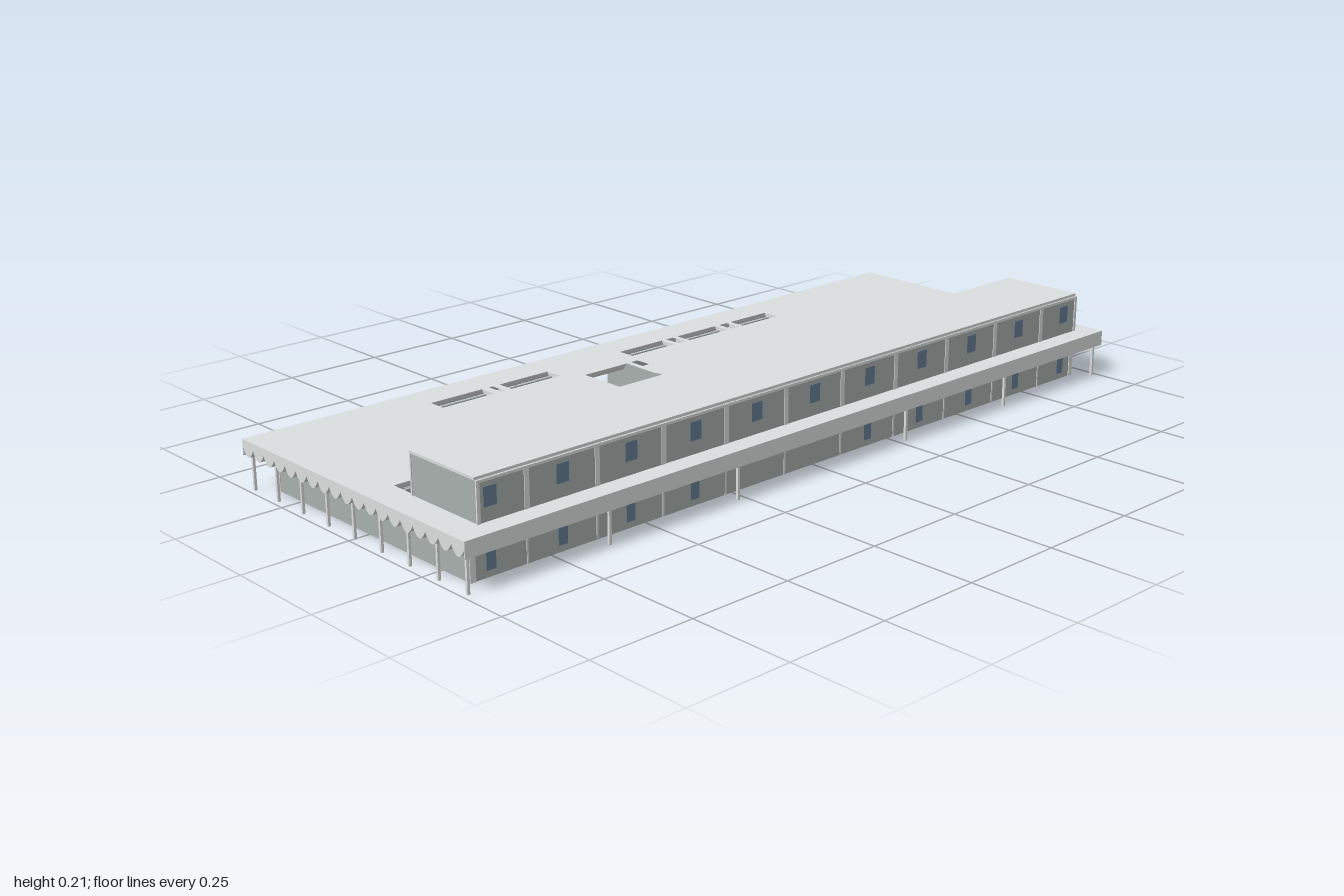
import * as THREE from 'three';

const mat = (name, color) => {
  const m = new THREE.MeshStandardMaterial({ color });
  m.name = name;
  return m;
};

export function createModel() {
  const model = new THREE.Group();
  const concrete = mat('pale concrete', 0xdcdfdf);
  const panel = mat('grey green panel', 0xa7b0ad);
  const glass = mat('blue glass', 0x667f92);

  const add = (name, geometry, material) => {
    const mesh = new THREE.Mesh(geometry, material);
    mesh.name = name;
    model.add(mesh);
  };
  // Box given by its lower and upper limits
  const block = (name, x0, x1, y0, y1, z0, z1, material) => {
    const g = new THREE.BoxGeometry(x1 - x0, y1 - y0, z1 - z0);
    g.translate((x0 + x1) / 2, (y0 + y1) / 2, (z0 + z1) / 2);
    add(name, g, material);
  };

  // Main roof slab with skylights and patio openings: [x0, x1, z0, z1]
  const openings = [
    [-0.565, -0.39, -0.315, -0.265], [-0.37, -0.195, -0.315, -0.265],
    [0, 0.175, -0.315, -0.265], [0.19, 0.36, -0.315, -0.265], [0.375, 0.54, -0.315, -0.265],
    [-0.18, -0.015, -0.23, -0.105], [0.75, 0.92, 0.015, 0.1], [-0.925, -0.75, 0.06, 0.13],
  ];
  const rect = (path, x0, x1, z0, z1) => {
    path.moveTo(x0, -z0);
    path.lineTo(x1, -z0);
    path.lineTo(x1, -z1);
    path.lineTo(x0, -z1);
    path.closePath();
    return path;
  };
  const slab = rect(new THREE.Shape(), -1, 1, -0.392, 0.392);
  openings.forEach(o => slab.holes.push(rect(new THREE.Path(), ...o)));
  const slabGeometry = new THREE.ExtrudeGeometry(slab, { depth: 0.017, bevelEnabled: false });
  slabGeometry.rotateX(-Math.PI / 2).translate(0, 0.1, 0);
  add('roofSlab', slabGeometry, concrete);

  // Flat fascias along the front and back edges
  for (const z of [-0.392, 0.392]) block('roofFascia', -1, 1, 0.08, 0.117, z - 0.001, z + 0.001, concrete);

  // Scalloped ribs under the slab, interrupted at the openings
  const count = 19, pitch = 0.784 / count, steps = 16;
  const rib = new THREE.Shape();
  rib.moveTo(-pitch / 2, 0);
  for (let i = 1; i <= steps; i++) {
    const t = (2 * i) / steps - 1;
    rib.lineTo(t * pitch / 2, -0.02 * (1 - t * t));
  }
  rib.closePath();
  for (let i = 0; i < count; i++) {
    const z = -0.392 + (i + 0.5) * pitch;
    const cuts = openings
      .filter(o => o[2] < z + pitch / 2 && o[3] > z - pitch / 2)
      .sort((a, b) => a[0] - b[0]);
    let start = -1;
    for (const end of [...cuts, [1, 1]]) {
      const g = new THREE.ExtrudeGeometry(rib, { depth: end[0] - start, bevelEnabled: false });
      g.rotateY(Math.PI / 2).translate(start, 0.1, z);
      add('roofRib', g, concrete);
      start = end[1];
    }
  }

  // Lower storey walls, with an entrance recess in the back wall
  const T = 0.006, H = 0.091;
  block('frontWall', -0.95, 0.95, 0, H, 0.34 - T, 0.34, panel);
  block('backWall', -0.95, -0.19, 0, H, -0.34, -0.34 + T, panel);
  block('backWall', -0.01, 0.95, 0, H, -0.34, -0.34 + T, panel);
  for (const x of [-0.95, 0.95 - T]) block('endWall', x, x + T, 0, H, -0.34, 0.34, panel);
  for (const x of [-0.19, -0.01 - T]) block('recessSideWall', x, x + T, 0, 0.1, -0.34, -0.1, panel);
  block('recessWall', -0.19, -0.01, 0, 0.1, -0.1, -0.1 + T, panel);

  // Screen walls of the small patio at the right end
  block('patioInnerWall', -0.75, -0.744, 0, 0.1, 0.054, 0.13, panel);
  block('patioBackWall', -0.95, -0.744, 0, 0.1, 0.054, 0.06, panel);

  // Pale corner strips on the lower storey
  for (const x of [-0.945, 0.945]) for (const z of [-0.336, 0.336])
    block('cornerStrip', x - 0.007, x + 0.007, 0, H, z - 0.006, z + 0.006, concrete);

  // Upper storey with its flat cap
  const Y0 = 0.117, Y1 = 0.207;
  block('upperStorey', -0.93, 0.95, Y0, Y1, 0.13, 0.343, panel);
  block('upperRoof', -0.933, 0.953, Y1, 0.213, 0.129, 0.339, concrete);
  for (const z of [0.13, 0.343]) {
    block('upperTopRail', -0.932, 0.952, 0.201, Y1, z - 0.002, z + 0.002, concrete);
    for (const x of [-0.928, 0.948])
      block('upperCorner', x - 0.004, x + 0.004, Y0, Y1, z - 0.002, z + 0.002, concrete);
    for (let i = 0; i < 10; i++) {
      const x = -0.81 + i * 0.18;
      block('upperMullion', x - 0.006, x + 0.006, Y0, Y1, z - 0.0015, z + 0.0015, concrete);
    }
  }

  // Windows on the outer faces, one per bay; the middle bays below have none
  for (let i = 0; i < 11; i++) {
    const x = -0.9 + i * 0.18;
    for (const z of [0.13, 0.343])
      block('upperWindow', x - 0.016, x + 0.016, 0.148, 0.19, z - 0.0015, z + 0.0015, glass);
    if (i > 3 && i < 6) continue;
    for (const z of [-0.34, 0.34])
      block('lowerWindow', x - 0.012, x + 0.012, 0.015, 0.065, z - 0.0015, z + 0.0015, glass);
  }
  block('recessWindow', -0.115, -0.085, 0.015, 0.065, -0.1015, -0.0985, glass);

  // Narrow joints between the lower wall panels
  for (let i = 0; i < 10; i++) {
    const x = -0.81 + i * 0.18;
    block('frontJoint', x - 0.002, x + 0.002, 0, H, 0.339, 0.3412, concrete);
    if (i !== 4) block('backJoint', x - 0.002, x + 0.002, 0, H, -0.3412, -0.339, concrete);
  }

  // Slender posts around the edge of the roof
  const post = (x, z) => block('post', x - 0.003, x + 0.003, 0, 0.09, z - 0.003, z + 0.003, concrete);
  for (const z of [-0.378, 0.378])
    for (const x of [0.27, 0.63, 0.985]) {
      post(x, z);
      post(-x, z);
    }
  for (const x of [-0.985, 0.985])
    for (let i = -3; i <= 3; i++) post(x, i * 0.095);

  return model;
}
